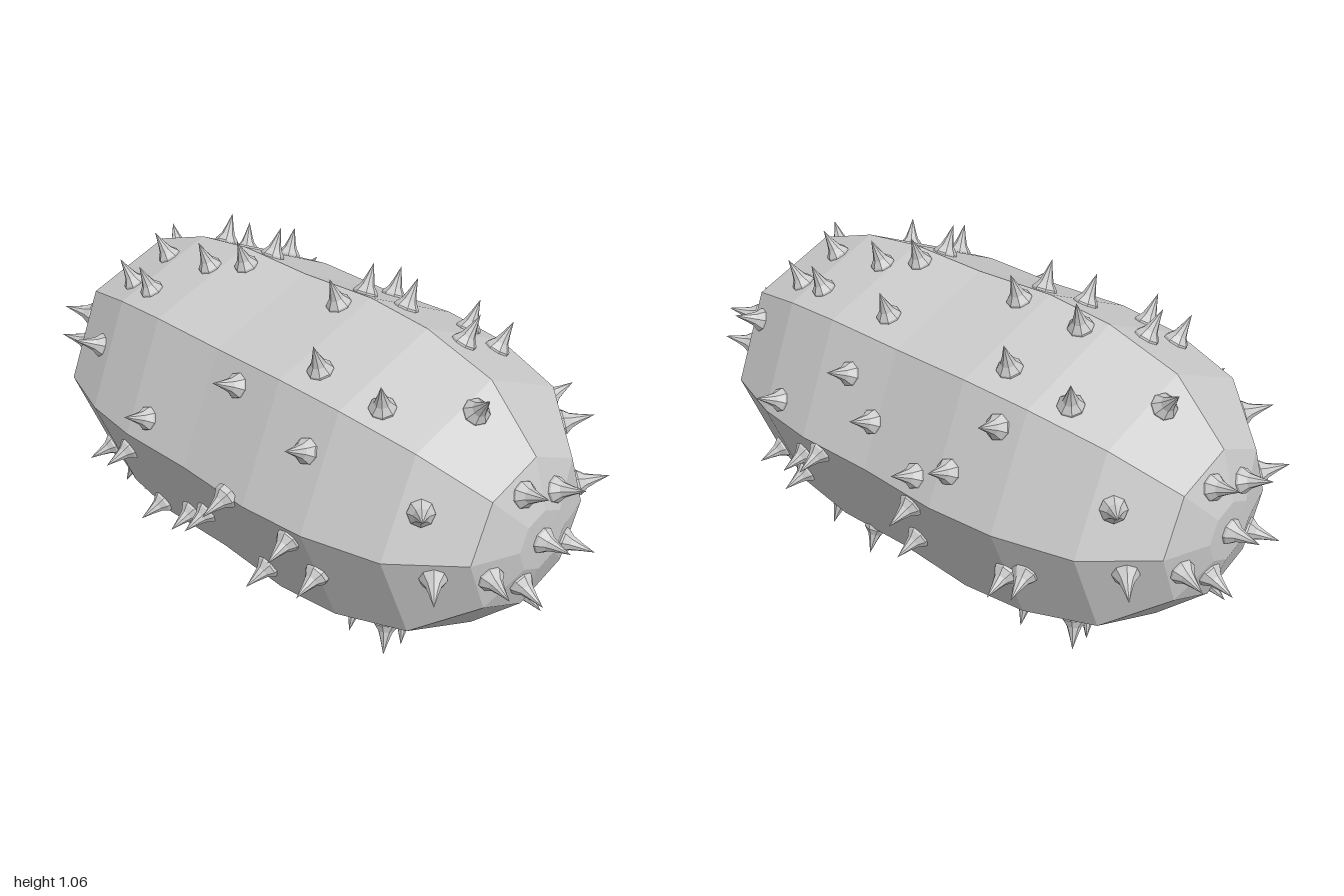
import * as THREE from 'three';

const CENTER_Y = 0.53;
const HALF = Math.PI / 8;

// half profile of the body: [distance along z, corner radius]
const PROFILE = [[0, 0.466], [0.27, 0.474], [0.48, 0.452], [0.705, 0.385], [0.865, 0.228], [0.91, 0.09], [0.911, 0]];

// spikes along the flanks: [angle in degrees from +x towards +y, z]
const FLANK_SPIKES = [
  // upper side
  [104, -0.53], [125, -0.42], [84, -0.42], [104, -0.31], [56, -0.35], [97, -0.2], [84, -0.2],
  [56, 0.12], [97, 0.2], [84, 0.2], [77, 0.31], [125, 0.34], [56, 0.42], [77, 0.53],
  // left side
  [30, 0.15], [36, -0.41], [17, 0.02], [14, -0.3], [7, 0.42], [7, -0.19], [-4, 0.21], [-5, -0.18],
  [-12, 0.32], [-18, -0.54], [-28, -0.13], [-33, 0.42], [33, 0.66],
  // right side
  [156, -0.55], [171, -0.2], [143, 0.12], [152, 0.42], [180, 0.2], [186, 0.42], [205, 0],
  [215, 0.25], [212, -0.1], [192, -0.33], [220, -0.28],
  // underside
  [-80, 0.2], [-100, 0.2], [-80, -0.2], [-100, -0.2], [-48, 0.15], [-52, 0.36], [-60, -0.4],
  [-103, -0.31], [-75, -0.54], [-70, 0.55], [-115, 0.42], [-120, -0.54],
];

// spikes on each rounded end: [x, height from the axis]
const END_SPIKES = [
  [0, 0], [-0.06, 0.15], [0.06, 0.12], [-0.05, -0.12], [-0.16, -0.06], [0.13, -0.07],
  [-0.28, -0.05], [-0.29, 0.13], [-0.08, 0.33], [-0.24, 0.33], [0.24, 0.04], [0.27, 0.18],
  [0.09, -0.26], [0.34, -0.21], [0.24, -0.32], [-0.39, -0.15], [0.23, 0.34], [-0.25, -0.31], [-0.12, -0.38],
];

// middle angle of the flat side that contains an angle
const facetAngle = (a) => (Math.floor(a / (2 * HALF)) + 0.5) * 2 * HALF;

// profile segment that spans a value: key 0 looks up z, key 1 looks up radius
function findSegment(value, key) {
  const first = key === 1 ? 1 : 0;
  for (let i = first; i < PROFILE.length - 1; i++) {
    const a = PROFILE[i], b = PROFILE[i + 1];
    const t = (value - a[key]) / (b[key] - a[key]);
    if (t <= 1) return { a, b, t: Math.max(0, t) };
  }
  const n = PROFILE.length;
  return { a: PROFILE[n - 2], b: PROFILE[n - 1], t: 1 };
}

// surface point and facet normal, measured in the flat side's own direction
function surfaceAt(angle, seg, side) {
  const { a, b, t } = seg;
  const mid = facetAngle(angle);
  const z = a[0] + (b[0] - a[0]) * t;
  const flat = (a[1] + (b[1] - a[1]) * t) * Math.cos(HALF);
  const r = flat / Math.cos(angle - mid);
  const nr = b[0] - a[0], nz = (a[1] - b[1]) * Math.cos(HALF);
  return {
    point: new THREE.Vector3(r * Math.cos(angle), r * Math.sin(angle), side * z),
    normal: new THREE.Vector3(nr * Math.cos(mid), nr * Math.sin(mid), side * nz).normalize(),
  };
}

export function createModel() {
  const group = new THREE.Group();
  group.name = 'spikyFruit';
  const material = new THREE.MeshStandardMaterial({ color: 0xcccccc, flatShading: true });

  // eight-sided body, lying along z
  const mirrored = PROFILE.slice(1).reverse().map(([z, r]) => [-z, r]);
  const outline = [...mirrored, ...PROFILE].map(([z, r]) => new THREE.Vector2(r, z));
  const bodyGeometry = new THREE.LatheGeometry(outline, 8);
  bodyGeometry.rotateX(Math.PI / 2);
  const body = new THREE.Mesh(bodyGeometry, material);
  body.name = 'body';
  body.position.y = CENTER_Y;
  group.add(body);

  // flared spike shared by all positions
  const spikeOutline = [[0.037, -0.012], [0.036, 0.006], [0.021, 0.025], [0.012, 0.05], [0, 0.09]];
  const spikeGeometry = new THREE.LatheGeometry(spikeOutline.map(([r, y]) => new THREE.Vector2(r, y)), 8);
  const spikes = new THREE.Group();
  spikes.name = 'spikes';
  spikes.position.y = CENTER_Y;
  group.add(spikes);

  const addSpike = ({ point, normal }) => {
    const spike = new THREE.Mesh(spikeGeometry, material);
    spike.name = 'spike';
    spike.position.copy(point);
    spike.quaternion.setFromUnitVectors(new THREE.Vector3(0, 1, 0), normal);
    spikes.add(spike);
  };

  for (const [deg, z] of FLANK_SPIKES) {
    addSpike(surfaceAt(THREE.MathUtils.degToRad(deg), findSegment(Math.abs(z), 0), Math.sign(z) || 1));
  }

  // the back end repeats the front end turned half way round
  for (const side of [1, -1]) {
    for (const [x, y] of END_SPIKES) {
      const angle = Math.atan2(y, side * x);
      const radius = Math.hypot(x, y) * Math.cos(angle - facetAngle(angle)) / Math.cos(HALF);
      const spot = surfaceAt(angle, findSegment(radius, 1), side);
      if (radius === 0) spot.normal.set(0, 0, side);
      addSpike(spot);
    }
  }

  return group;
}
